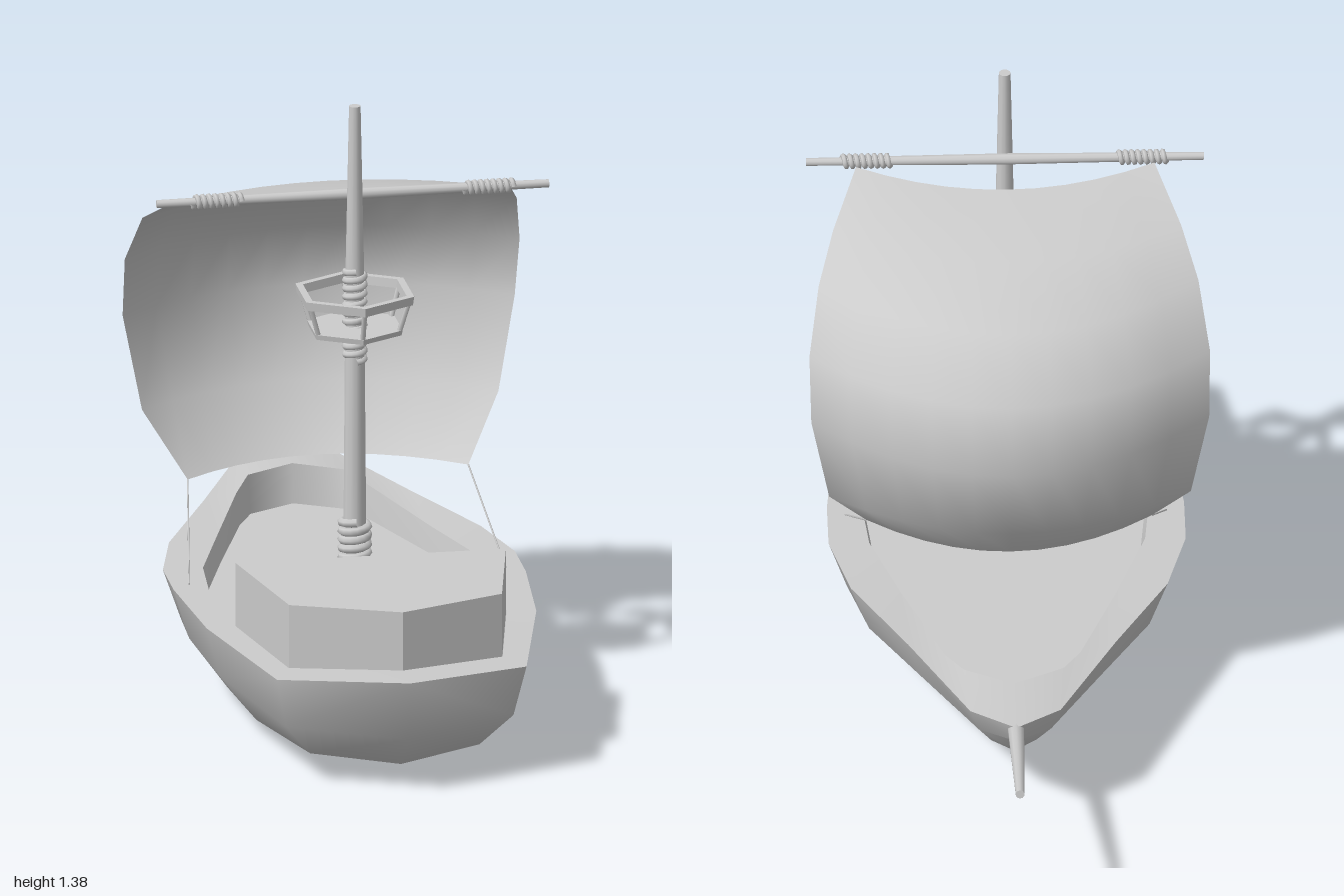
import * as THREE from 'three';
import { mergeVertices, toCreasedNormals } from 'three/addons/utils/BufferGeometryUtils.js';

const smooth = new THREE.MeshStandardMaterial({ color: 0xcccccc });
const flat = new THREE.MeshStandardMaterial({ color: 0xcccccc, flatShading: true });
const cloth = new THREE.MeshStandardMaterial({ color: 0xcccccc, side: THREE.DoubleSide });
const V = (x, y, z) => new THREE.Vector3(x, y, z);

function part(parent, name, geometry, material = smooth) {
  const mesh = new THREE.Mesh(geometry, material);
  mesh.name = name;
  parent.add(mesh);
  return mesh;
}

// Tapered rod between two points
function rod(parent, name, a, b, ra, rb = ra, sides = 10, material = smooth) {
  const dir = b.clone().sub(a);
  const mesh = part(parent, name, new THREE.CylinderGeometry(rb, ra, dir.length(), sides), material);
  mesh.position.copy(a).add(b).multiplyScalar(0.5);
  mesh.quaternion.setFromUnitVectors(V(0, 1, 0), dir.normalize());
  return mesh;
}

// Rope wound around the y axis from y = 0 to y = height
function coil(parent, name, radius, rope, height, turns) {
  const pts = [];
  for (let i = 0; i <= turns * 10; i++) {
    const a = (i / 10) * Math.PI * 2;
    pts.push(V(Math.sin(a) * radius, (i / (turns * 10)) * height, Math.cos(a) * radius));
  }
  const path = new THREE.CatmullRomCurve3(pts);
  return part(parent, name, new THREE.TubeGeometry(path, turns * 14, rope, 6), smooth);
}

// Half outline of the well inside the rail, bow to stern: x, z
const WELL = [[0, -0.52], [0.11, -0.46], [0.15, -0.38], [0.24, -0.12], [0.305, 0.08],
  [0.32, 0.25], [0.305, 0.49], [0.24, 0.81], [0, 0.905]];
const FLOOR = 0.21;

// Half hull ribs, bow to stern: rail, side, chine, keel as x, y, z
const RIBS = [
  [[0, 0.3, -0.69], [0, 0.25, -0.67], [0, 0.14, -0.55], [0, 0.05, -0.36]],
  [[0.1, 0.298, -0.62], [0.08, 0.22, -0.58], [0.05, 0.12, -0.48], [0, 0.03, -0.25]],
  [[0.23, 0.283, -0.34], [0.2, 0.19, -0.33], [0.13, 0.075, -0.28], [0, 0.015, -0.15]],
  [[0.35, 0.268, -0.1], [0.31, 0.16, -0.1], [0.21, 0.045, -0.08], [0, 0.006, 0]],
  [[0.395, 0.264, 0.08], [0.355, 0.15, 0.08], [0.26, 0.032, 0.08], [0, 0.002, 0.1]],
  [[0.395, 0.262, 0.22], [0.36, 0.147, 0.22], [0.275, 0.03, 0.22], [0, 0, 0.22]],
  [[0.37, 0.26, 0.5], [0.34, 0.147, 0.5], [0.255, 0.035, 0.48], [0, 0.01, 0.45]],
  [[0.28, 0.259, 0.89], [0.255, 0.14, 0.865], [0.19, 0.055, 0.8], [0, 0.035, 0.72]],
  [[0, 0.27, 1], [0, 0.13, 0.97], [0, 0.045, 0.88], [0, 0.04, 0.8]],
];

// Hull, rail, inner wall and floor as one mirrored loft
function hullGeometry() {
  const columns = RIBS.map((rib, i) => {
    const [x, z] = WELL[i];
    return [[0, FLOOR, z * 0.98], [x * 0.96, FLOOR, z * 0.98], [x, rib[0][1], z], ...rib];
  });
  const pos = [];
  for (const side of [1, -1]) {
    const tri = (a, b, c) => {
      for (const p of side > 0 ? [a, b, c] : [a, c, b]) pos.push(p[0] * side, p[1], p[2]);
    };
    for (let i = 0; i < columns.length - 1; i++) {
      for (let j = 0; j < columns[i].length - 1; j++) {
        const a = columns[i][j], b = columns[i][j + 1];
        const c = columns[i + 1][j], d = columns[i + 1][j + 1];
        tri(a, c, b);
        tri(b, c, d);
      }
    }
  }
  const geo = new THREE.BufferGeometry();
  geo.setAttribute('position', new THREE.Float32BufferAttribute(pos, 3));
  return toCreasedNormals(mergeVertices(geo), 1.05);
}

// Sail rows, top to bottom: half width, edge y, edge z, middle y, middle z
const SAIL = [[0.33, 1.168, 0.24, 1.15, 0.17], [0.385, 1.11, 0.08, 1.105, -0.05],
  [0.42, 1.045, -0.04, 1.03, -0.22], [0.443, 0.92, -0.135, 0.91, -0.33],
  [0.44, 0.775, -0.18, 0.76, -0.38], [0.4, 0.56, -0.16, 0.56, -0.315],
  [0.315, 0.425, -0.06, 0.425, -0.19]];

function sailGeometry() {
  const cols = 10, rows = SAIL.length - 1;
  const geo = new THREE.PlaneGeometry(2, 1, cols, rows);
  const p = geo.attributes.position;
  for (let i = 0; i < p.count; i++) {
    const [w, ey, ez, my, mz] = SAIL[Math.floor(i / (cols + 1))];
    const u = p.getX(i), k = u * u;
    p.setXYZ(i, u * w, my + (ey - my) * k, mz + (ez - mz) * k);
  }
  geo.computeVertexNormals();
  return geo;
}

export function createModel() {
  const ship = new THREE.Group();
  ship.name = 'sailingShip';
  part(ship, 'hull', hullGeometry());

  // Cabin filling the stern end of the well
  const outline = [[-0.305, 0.49], [-0.24, 0.81], [0, 0.905], [0.24, 0.81], [0.305, 0.49]];
  const shape = new THREE.Shape(outline.map(([x, z]) => new THREE.Vector2(x * 0.995, -z)));
  const cabin = new THREE.ExtrudeGeometry(shape, { depth: 0.205, bevelEnabled: false });
  part(ship, 'cabin', cabin.rotateX(-Math.PI / 2), flat).position.y = 0.2;

  rod(ship, 'bowsprit', V(0, 0.272, -0.62), V(0, 0.337, -0.998), 0.02, 0.01);

  // Mast with rope windings
  const mast = new THREE.Group();
  mast.name = 'mast';
  mast.position.z = 0.285;
  ship.add(mast);
  rod(mast, 'lowerMast', V(0, 0.2, 0), V(0, 1, 0), 0.027, 0.021, 12);
  rod(mast, 'upperMast', V(0, 1, 0), V(0, 1.385, 0), 0.021, 0.013, 12);
  coil(mast, 'mastFootRope', 0.029, 0.01, 0.18, 9).position.y = 0.245;
  coil(mast, 'nestRope', 0.021, 0.008, 0.21, 11).position.y = 0.795;

  // Lookout nest: six-sided floor, posts and railing
  const nest = new THREE.Group();
  nest.name = 'lookoutNest';
  mast.add(nest);
  part(nest, 'nestFloor', new THREE.CylinderGeometry(0.113, 0.11, 0.012, 6), flat).position.y = 0.87;
  const rail = [[0.12, 0.937], [0.137, 0.937], [0.14, 0.957], [0.122, 0.957], [0.12, 0.937]];
  part(nest, 'nestRail', new THREE.LatheGeometry(rail.map(([r, y]) => new THREE.Vector2(r, y)), 6), flat);
  for (let i = 0; i < 6; i++) {
    const s = Math.sin(i * Math.PI / 3), c = Math.cos(i * Math.PI / 3);
    rod(nest, 'nestPost', V(s * 0.104, 0.87, c * 0.104), V(s * 0.128, 0.945, c * 0.128), 0.006, 0.006, 6);
  }

  // Yard, sail and sheets
  const yard = new THREE.Group();
  yard.name = 'yard';
  yard.position.set(0, 1.172, 0.257);
  ship.add(yard);
  part(ship, 'sail', sailGeometry(), cloth);
  for (const s of [1, -1]) {
    rod(yard, 'yardArm', V(0, 0, 0), V(s * 0.44, 0, 0), 0.013, 0.009);
    const lash = coil(yard, 'yardLashing', 0.012, 0.006, 0.11, 8);
    lash.rotation.z = -Math.PI / 2;
    lash.position.x = s > 0 ? 0.25 : -0.36;
    rod(ship, 'sheetRope', V(s * 0.315, 0.425, -0.06), V(s * 0.355, 0.264, 0.19), 0.002, 0.002, 5);
  }
  return ship;
}
